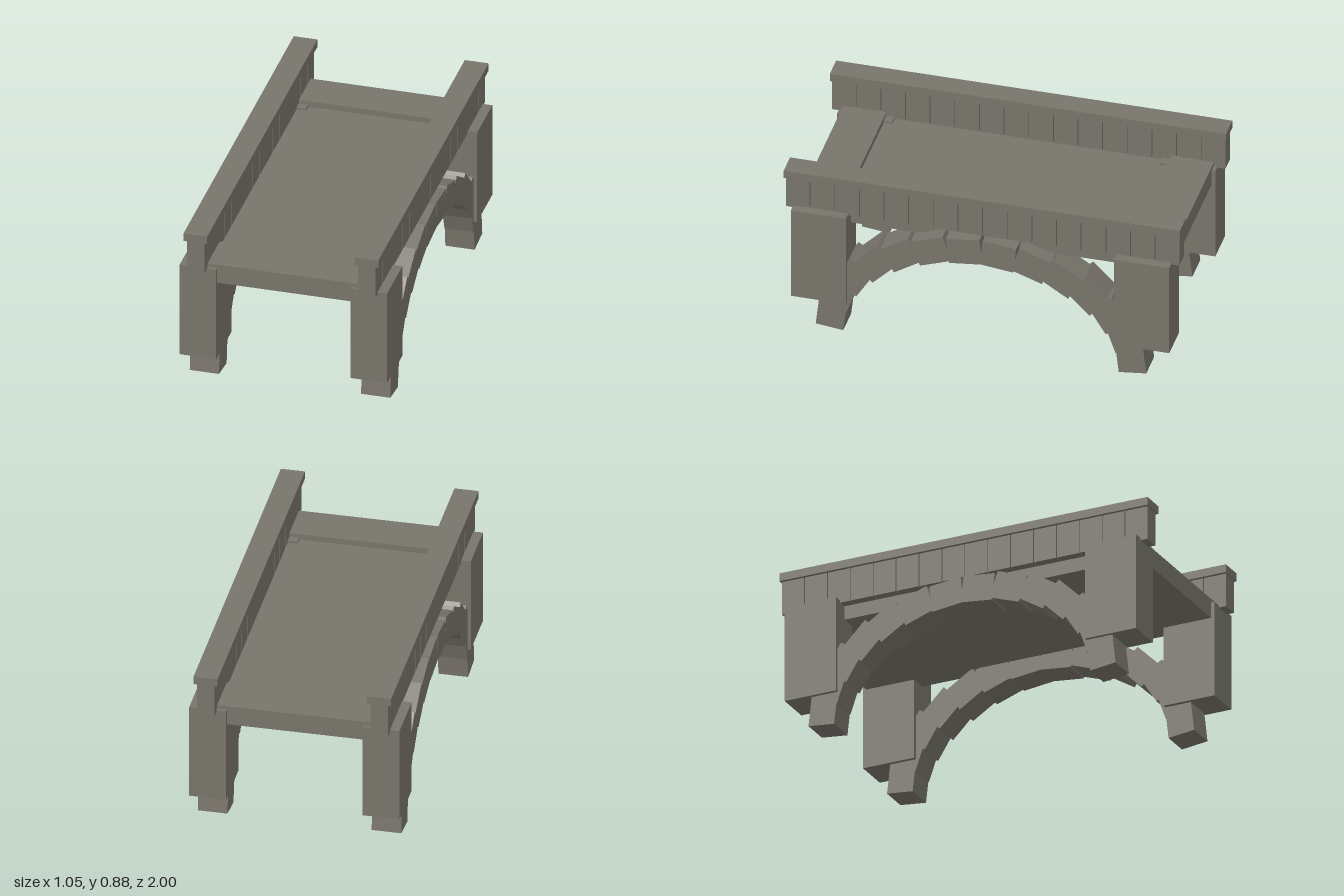
import * as THREE from 'three';

export function createModel() {
  const model = new THREE.Group();
  model.name = 'stoneBridge';
  const stone = new THREE.MeshStandardMaterial({ color: 0x78746b });
  stone.name = 'grey stone';

  // Box given by its size and centre
  function block(name, parent, [w, h, d], [x, y, z]) {
    const mesh = new THREE.Mesh(new THREE.BoxGeometry(w, h, d), stone);
    mesh.name = name;
    mesh.position.set(x, y, z);
    parent.add(mesh);
    return mesh;
  }

  // Roadway: sunken middle slab and two raised end slabs
  block('deckMiddle', model, [0.86, 0.072, 1.44], [0, 0.624, 0]);
  for (const end of [1, -1]) {
    block('deckEnd', model, [0.8, 0.102, 0.217], [0, 0.639, end * 0.8275]);
  }

  for (const side of [1, -1]) {
    const flank = new THREE.Group();
    flank.name = side > 0 ? 'leftSide' : 'rightSide';
    model.add(flank);

    // Corner piers
    for (const end of [1, -1]) {
      block('pier', flank, [0.185, 0.503, 0.278], [side * 0.4325, 0.4195, end * 0.816]);
    }

    // Parapet of sixteen blocks under a coping
    const count = 16, blockLength = 0.12, pitch = (1.986 - blockLength) / (count - 1);
    for (let i = 0; i < count; i++) {
      const z = (i - (count - 1) / 2) * pitch;
      block('parapetBlock', flank, [0.088, 0.176, blockLength], [side * 0.433, 0.748, z]);
    }
    block('coping', flank, [0.12, 0.042, 2], [side * 0.433, 0.856, 0]);

    // Arch stones set round a flattened half circle
    const stones = 14;
    for (let i = 0; i < stones; i++) {
      const angle = ((i + 0.5) / stones - 0.5) * Math.PI;
      const z = 0.76 * Math.sin(angle);
      const y = 0.031 + 0.543 * Math.cos(angle);
      block('archStone', flank, [0.148, 0.14, 0.17], [side * 0.4335, y, z]).rotation.x = angle;
    }
  }
  return model;
}
